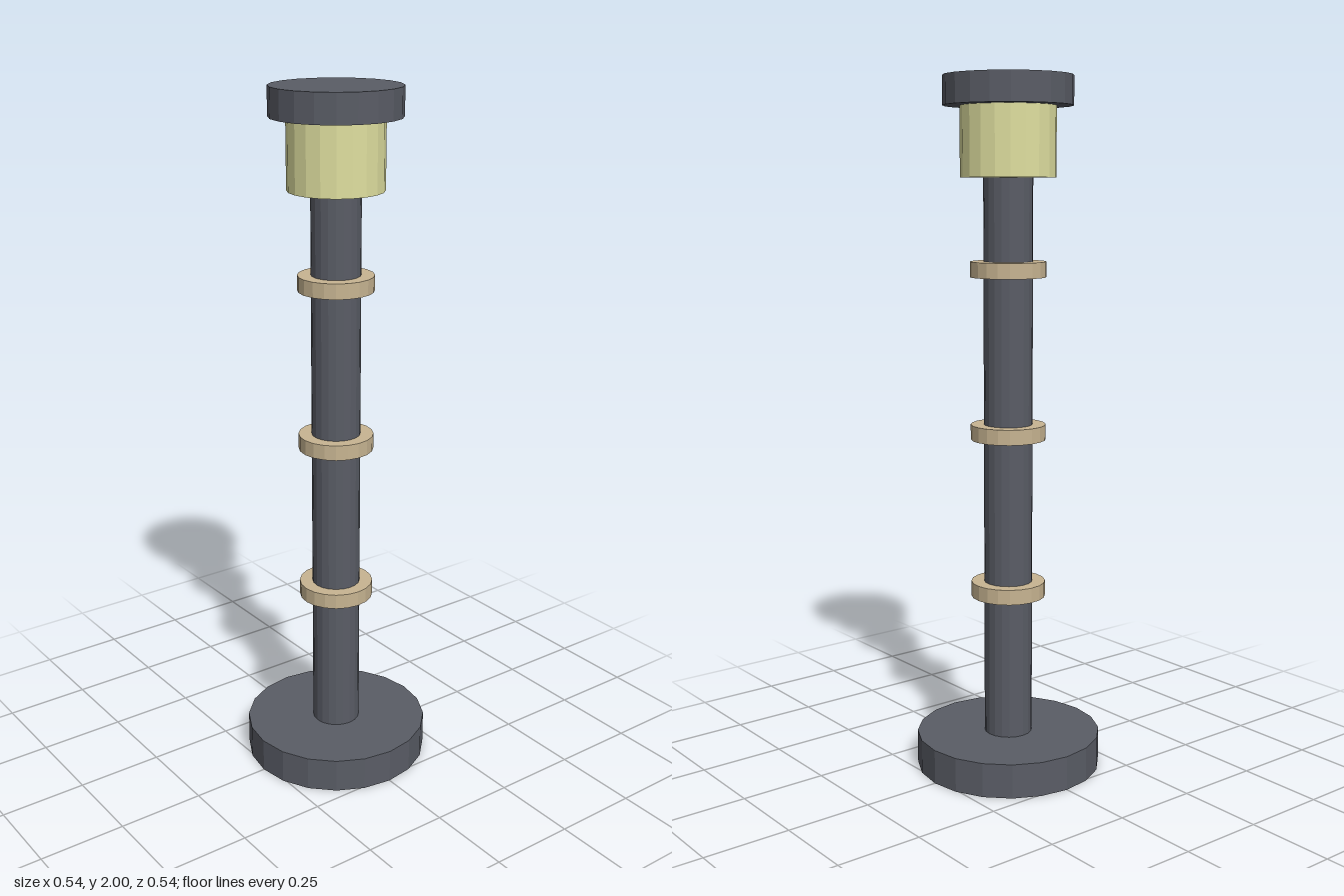
import * as THREE from 'three';

const SIDES = 20;

function material(name, color) {
  const m = new THREE.MeshStandardMaterial({ color, flatShading: true });
  m.name = name;
  return m;
}

export function createModel() {
  const model = new THREE.Group();
  model.name = 'lampPost';
  const darkMetal = material('darkMetal', 0x5a5d66);
  const paleGlass = material('paleGlass', 0xe0e0a0);
  const tanBand = material('tanBand', 0xc8b592);

  // Upright disc or column between two heights
  function column(name, radius, bottom, top, mat) {
    const mesh = new THREE.Mesh(
      new THREE.CylinderGeometry(radius, radius, top - bottom, SIDES), mat);
    mesh.name = name;
    mesh.position.y = (bottom + top) / 2;
    model.add(mesh);
  }

  column('base', 0.27, 0, 0.1, darkMetal);
  column('pole', 0.07, 0.1, 1.722, darkMetal);

  // Evenly spaced bands around the pole
  [0.537, 1.002, 1.467].forEach((y, i) =>
    column(`band${i + 1}`, 0.108, y - 0.022, y + 0.022, tanBand));

  // Lamp and its lid
  column('lamp', 0.135, 1.722, 1.918, paleGlass);
  column('cap', 0.183, 1.918, 2, darkMetal);

  return model;
}
